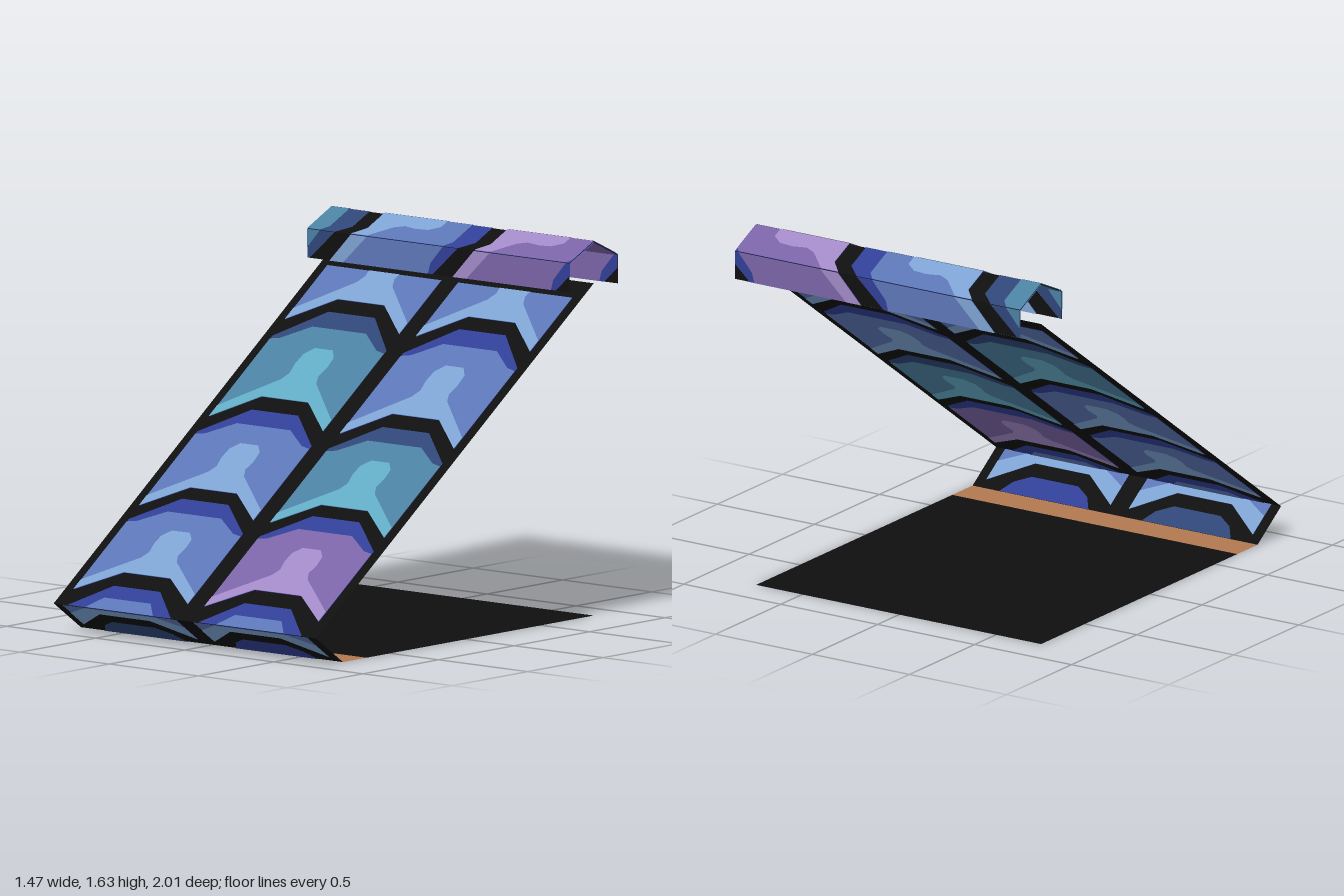
import * as THREE from 'three';

const HALF = 0.735;

const COLOURS = {
  black: 0x0f0f0f, lightBlue: 0x7ca1d0, midBlue: 0x5b75b4, deepBlue: 0x303e95, navy: 0x2e4577,
  teal: 0x4a80a0, lightTeal: 0x60a8c2, purple: 0x7a63a5, lightPurple: 0xa088c5, timber: 0xb0784f,
};

// Keep the part of a convex polygon where sign * (p[axis] - limit) >= 0
function clip(poly, axis, limit, sign) {
  const out = [];
  poly.forEach((a, i) => {
    const b = poly[(i + 1) % poly.length];
    const da = sign * (a[axis] - limit), db = sign * (b[axis] - limit);
    if (da >= 0) out.push(a);
    if (da * db < 0) {
      const t = da / (da - db);
      out.push([a[0] + (b[0] - a[0]) * t, a[1] + (b[1] - a[1]) * t]);
    }
  });
  return out;
}

// Lay a flat outline (x, h) over a folded sheet whose path is a list of [h, z, y].
// Raised layers are repeated on the underside.
function drape(outline, path, layer, lo = -9, hi = 9) {
  const pts = outline.map(([x, h]) => new THREE.Vector2(x, h));
  const pos = [];
  for (const face of THREE.ShapeUtils.triangulateShape(pts, [])) {
    for (let s = 0; s < path.length - 1; s++) {
      const [h0, z0, y0] = path[s], [h1, z1, y1] = path[s + 1];
      let poly = face.map((i) => [pts[i].x, pts[i].y]);
      poly = clip(clip(poly, 1, Math.max(h0, lo), 1), 1, Math.min(h1, hi), -1);
      poly = clip(clip(poly, 0, -HALF, 1), 0, HALF, -1);
      const len = Math.hypot(z1 - z0, y1 - y0);
      const nz = (y1 - y0) / len, ny = -(z1 - z0) / len;
      for (const side of layer ? [1, -1] : [1]) {
        const d = side * layer * 0.002;
        const at = ([x, h]) => {
          const t = (h - h0) / (h1 - h0);
          return [x, y0 + (y1 - y0) * t + ny * d, z0 + (z1 - z0) * t + nz * d];
        };
        for (let i = 1; i < poly.length - 1; i++) {
          const tri = [at(poly[0]), at(poly[i]), at(poly[i + 1])];
          if (side < 0) tri.reverse();
          pos.push(...tri.flat());
        }
      }
    }
  }
  const g = new THREE.BufferGeometry();
  g.setAttribute('position', new THREE.Float32BufferAttribute(pos, 3));
  g.computeVertexNormals();
  return g;
}

// Mirror a half outline, listed from centre bottom to centre top
const mirrored = (half) => [...half, ...half.map(([x, h]) => [-x, h]).reverse()];

// Scalloped tile: crest, face and highlight
const CREST = mirrored([[0.13, 0.09], [0.32, 0], [0.32, 0.3], [0.13, 0.405]]);
const FACE = mirrored([[0.13, 0.09], [0.32, 0], [0.32, 0.288], [0.27, 0.295], [0.15, 0.347]]);
const LIGHT = mirrored([[0.13, 0.09], [0.32, 0], [0.32, 0.04], [0.1, 0.155], [0.08, 0.18],
  [0.09, 0.215], [0.085, 0.25], [0.05, 0.275]]);

export function createModel() {
  const model = new THREE.Group();
  const mats = {};
  for (const [name, color] of Object.entries(COLOURS)) {
    mats[name] = new THREE.MeshStandardMaterial({ color, side: THREE.DoubleSide });
    mats[name].name = name;
  }
  const add = (parent, name, mat, geometry) => {
    const mesh = new THREE.Mesh(geometry, mats[mat]);
    mesh.name = name;
    parent.add(mesh);
  };
  const schemes = {
    blue: ['deepBlue', 'midBlue', 'lightBlue'],
    teal: ['navy', 'teal', 'lightTeal'],
    purple: ['deepBlue', 'purple', 'lightPurple'],
  };
  const addTile = (parent, scheme, place, path, hi) => {
    const tile = new THREE.Group();
    tile.name = scheme + 'Tile';
    [CREST, FACE, LIGHT].forEach((outline, i) =>
      add(tile, ['tileCrest', 'tileFace', 'tileHighlight'][i], schemes[scheme][i],
        drape(outline.map(place), path, i + 1, -9, hi)));
    parent.add(tile);
  };
  const sheet = (lo, hi) => [[-HALF, lo], [HALF, lo], [HALF, hi], [-HALF, hi]];

  // Sloping roof with the eave folded back underneath
  const roof = new THREE.Group();
  roof.name = 'roofSlope';
  const roofPath = [[0, 0.82, 0], [0.125, 1, 0.125], [1.44, -0.84, 1.44]];
  add(roof, 'roofSheet', 'black', drape(sheet(0, 1.44), roofPath, 0));
  const rows = [
    [1.18, 1, 'blue', 'blue'],
    [0.82, 1, 'teal', 'blue'],
    [0.49, 0.92, 'blue', 'teal'],
    [0.18, 0.87, 'blue', 'purple'],
  ];
  for (const [base, k, right, left] of rows) {
    [[-0.367, right], [0.367, left]].forEach(([cx, scheme]) =>
      addTile(roof, scheme, ([x, h]) => [cx + x, base + h * k], roofPath, 1.38));
  }

  // Last row of tiles wrapping around the eave
  for (const cx of [-0.367, 0.367]) {
    const eave = (name, mat, half, layer, lo, hi) => add(roof, name, mat,
      drape(mirrored(half).map(([x, h]) => [cx + x, h]), roofPath, layer, lo, hi));
    eave('eaveCrest', 'deepBlue', [[0.29, 0.125], [0.13, 0.21]], 1, 0.125, 9);
    eave('eaveFace', 'midBlue', [[0.19, 0.125], [0.13, 0.165]], 2, 0.125, 9);
    eave('fasciaFace', 'midBlue', [[0.14, 0.1], [0.32, 0.025], [0.32, 0.125]], 1, 0, 0.125);
    eave('fasciaHighlight', 'lightBlue', [[0.14, 0.1], [0.32, 0.025], [0.32, 0.085], [0.2, 0.125]], 2, 0, 0.125);
    eave('fasciaCrest', cx < 0 ? 'navy' : 'deepBlue', [[0.23, 0], [0.19, 0.035], [0.12, 0.06]], 1, 0, 0.125);
  }
  model.add(roof);

  // Folded ridge cap with tiles running sideways
  const cap = new THREE.Group();
  cap.name = 'ridgeCap';
  const profile = [[-0.68, 1.42], [-0.68, 1.545], [-0.84, 1.62], [-1, 1.545], [-1, 1.42]];
  let run = -0.302;
  const capPath = profile.map(([z, y], i) => {
    if (i) run += Math.hypot(z - profile[i - 1][0], y - profile[i - 1][1]);
    return [run, z, y];
  });
  add(cap, 'capSheet', 'black', drape(sheet(-0.302, run), capPath, 0));
  [[-1.3, 'teal'], [-0.61, 'blue'], [0.08, 'purple']].forEach(([base, scheme]) =>
    addTile(cap, scheme, ([x, h]) => [base + h * 1.92, x * 0.95], capPath));
  model.add(cap);

  // Floor sheet and timber strip behind the eave
  const flat = (z0, z1) => drape(sheet(0, 1), [[0, z0, 0], [1, z1, 0]], 0);
  add(model, 'floorSheet', 'black', flat(0.664, -0.84));
  add(model, 'timberStrip', 'timber', flat(0.82, 0.664));
  return model;
}
